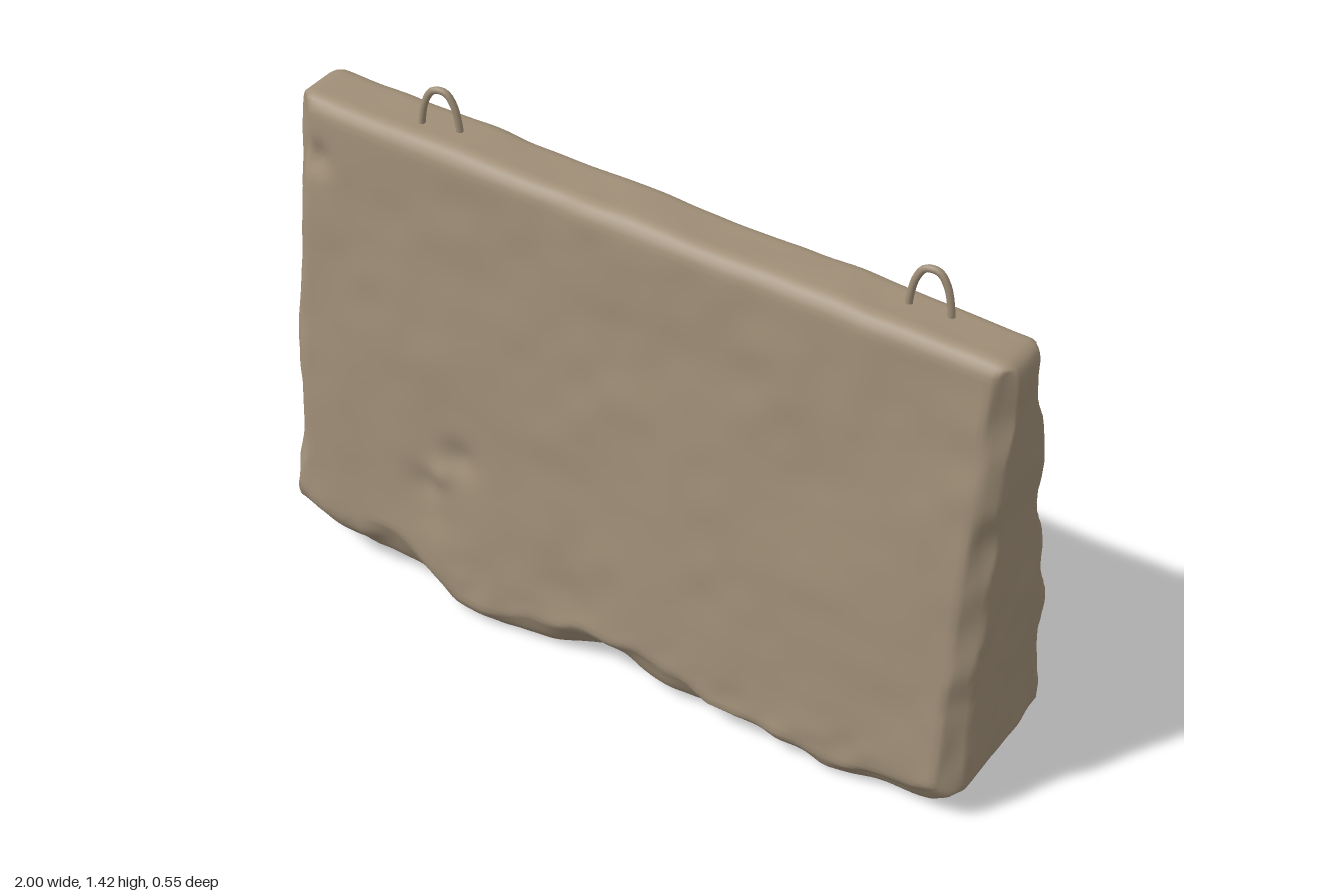
import * as THREE from 'three';
import { mergeVertices } from 'three/addons/utils/BufferGeometryUtils.js';

const { lerp, clamp, smoothstep } = THREE.MathUtils;

// Seeded smooth 3D value noise in -1..1
function hash(x, y, z) {
  const s = Math.sin(x * 127.1 + y * 311.7 + z * 74.7) * 43758.5453;
  return (s - Math.floor(s)) * 2 - 1;
}
function noise(x, y, z) {
  const i = Math.floor(x), j = Math.floor(y), k = Math.floor(z);
  const u = smoothstep(x - i, 0, 1), v = smoothstep(y - j, 0, 1), w = smoothstep(z - k, 0, 1);
  const row = (b, c) => lerp(hash(i, b, c), hash(i + 1, b, c), u);
  const plane = (c) => lerp(row(j, c), row(j + 1, c), v);
  return lerp(plane(k), plane(k + 1), w);
}

// Piecewise linear lookup through [position, value] pairs
function along(points, x) {
  for (let i = 1; i < points.length; i++) {
    const [a, va] = points[i - 1], [b, vb] = points[i];
    if (x <= b) return lerp(va, vb, smoothstep(x, a, b));
  }
  return points[points.length - 1][1];
}

// Depth of the broken lower edges along x
const FRONT_CHIPS = [[-1, 0.2], [-0.82, 0.13], [-0.62, 0.12], [-0.42, 0.05], [-0.2, 0.07], [-0.02, 0.12],
  [0.2, 0.08], [0.4, 0.07], [0.65, 0.045], [0.85, 0.06], [1, 0.1]];
const BACK_CHIPS = [[-1, 0.09], [-0.6, 0.06], [-0.2, 0.08], [0.2, 0.05], [0.6, 0.07], [1, 0.11]];

// Dents: x, y, radius, depth, side (1 front, -1 back)
const DENTS = [[-0.55, 0.36, 0.05, 0.018, 1], [-0.45, 0.47, 0.05, 0.016, 1], [-0.5, 0.41, 0.035, -0.012, 1],
  [-0.53, 0.28, 0.06, 0.01, 1], [-0.88, 1.17, 0.04, 0.022, 1], [-0.1, 0.22, 0.09, 0.01, 1],
  [0.62, 1.12, 0.08, 0.018, -1], [0.9, 0.75, 0.08, 0.012, -1], [-0.55, 1.0, 0.1, 0.008, -1]];

// Tapered slab with rounded, chipped edges and uneven faces
function slabGeometry() {
  let geo = new THREE.BoxGeometry(2, 1, 2, 110, 74, 28);
  geo.deleteAttribute('uv');
  geo.deleteAttribute('normal');
  geo = mergeVertices(geo);
  const pos = geo.attributes.position;
  const p = new THREE.Vector3(), inner = new THREE.Vector3(), dir = new THREE.Vector3();
  const r = 0.045;
  for (let i = 0; i < pos.count; i++) {
    p.fromBufferAttribute(pos, i);
    const t = p.y + 0.5;
    const left = lerp(-1.003, -0.95, t), right = lerp(0.978, 0.996, t);
    p.x = lerp(left, right, (p.x + 1) / 2);
    const top = 1.29 - 0.04 * p.x;
    p.y = lerp(0.008, top, t);
    const front = lerp(0.272, 0.168, t), back = lerp(-0.282, -0.012, t);
    p.z = lerp(back, front, (p.z + 1) / 2);

    // Round every edge
    inner.set(clamp(p.x, left + r, right - r), clamp(p.y, 0.008 + r, top - r), clamp(p.z, back + r, front - r));
    dir.subVectors(p, inner).normalize();
    p.copy(inner).addScaledVector(dir, r);

    // Break the lower front and back edges
    const rough = 1 + 0.3 * noise(p.x * 9, p.y * 9, 4);
    const f = along(FRONT_CHIPS, p.x) * rough - (front - p.z + p.y * 0.8);
    if (f > 0) { p.z -= f * 0.55; p.y += f * 0.4; }
    const b = along(BACK_CHIPS, p.x) * rough - (p.z - back + p.y);
    if (b > 0) { p.z += b * 0.5; p.y += b * 0.5; }

    // Wear the upright corners and the lower ends
    for (const [edge, s] of [[left, 1], [right, -1]]) {
      const dx = (p.x - edge) * s;
      const e = 0.09 * rough - (dx + Math.max(0, p.y));
      if (e > 0) { p.x += s * e * 0.4; p.y += e * 0.4; }
      const low = 0.05 + 0.04 * (1 - t);
      const c = low * rough - (dx + p.z - back);
      if (c > 0) { p.x += s * c * 0.5; p.z += c * 0.5; }
      const g = 0.05 * rough - (dx + front - p.z);
      if (g > 0) { p.x += s * g * 0.5; p.z -= g * 0.5; }
    }

    // Dents in the broad faces
    for (const [x, y, rad, depth, side] of DENTS) {
      if (dir.z * side < 0.5) continue;
      p.z -= side * depth * Math.exp(-((p.x - x) ** 2 + (p.y - y) ** 2) / (rad * rad));
    }

    // Uneven cast surface, rougher near the ground
    const n = 0.006 * noise(p.x * 4, p.y * 4, p.z * 4 + 9) + 0.003 * noise(p.x * 11, p.y * 11, p.z * 11)
      + 0.006 * (1 - smoothstep(p.y, 0.05, 0.25)) * noise(p.x * 16, p.y * 16, p.z * 16 + 3);
    p.addScaledVector(dir, n);
    p.y = Math.max(p.y, 0);
    pos.setXYZ(i, p.x, p.y, p.z);
  }
  geo.computeVertexNormals();
  return geo;
}

// Bent bar lifting loop
function loopGeometry() {
  const path = new THREE.CatmullRomCurve3([[-0.052, -0.04], [-0.048, 0.02], [-0.036, 0.07], [-0.016, 0.098],
    [0.016, 0.098], [0.036, 0.07], [0.048, 0.02], [0.052, -0.04]].map(([x, y]) => new THREE.Vector3(x, y, 0)));
  return new THREE.TubeGeometry(path, 32, 0.009, 8);
}

export function createModel() {
  const model = new THREE.Group();
  model.name = 'concreteBarrier';
  const concrete = new THREE.MeshStandardMaterial({ color: 0xa08f78 });
  concrete.name = 'concrete';

  const slab = new THREE.Mesh(slabGeometry(), concrete);
  slab.name = 'slab';
  model.add(slab);

  const loop = loopGeometry();
  for (const [name, x, y, z, turn] of [['rightLiftingLoop', -0.56, 1.312, 0.09, 0.17],
    ['leftLiftingLoop', 0.735, 1.262, 0.06, 0.09]]) {
    const mesh = new THREE.Mesh(loop, concrete);
    mesh.name = name;
    mesh.position.set(x, y, z);
    mesh.rotation.y = turn;
    model.add(mesh);
  }
  return model;
}
